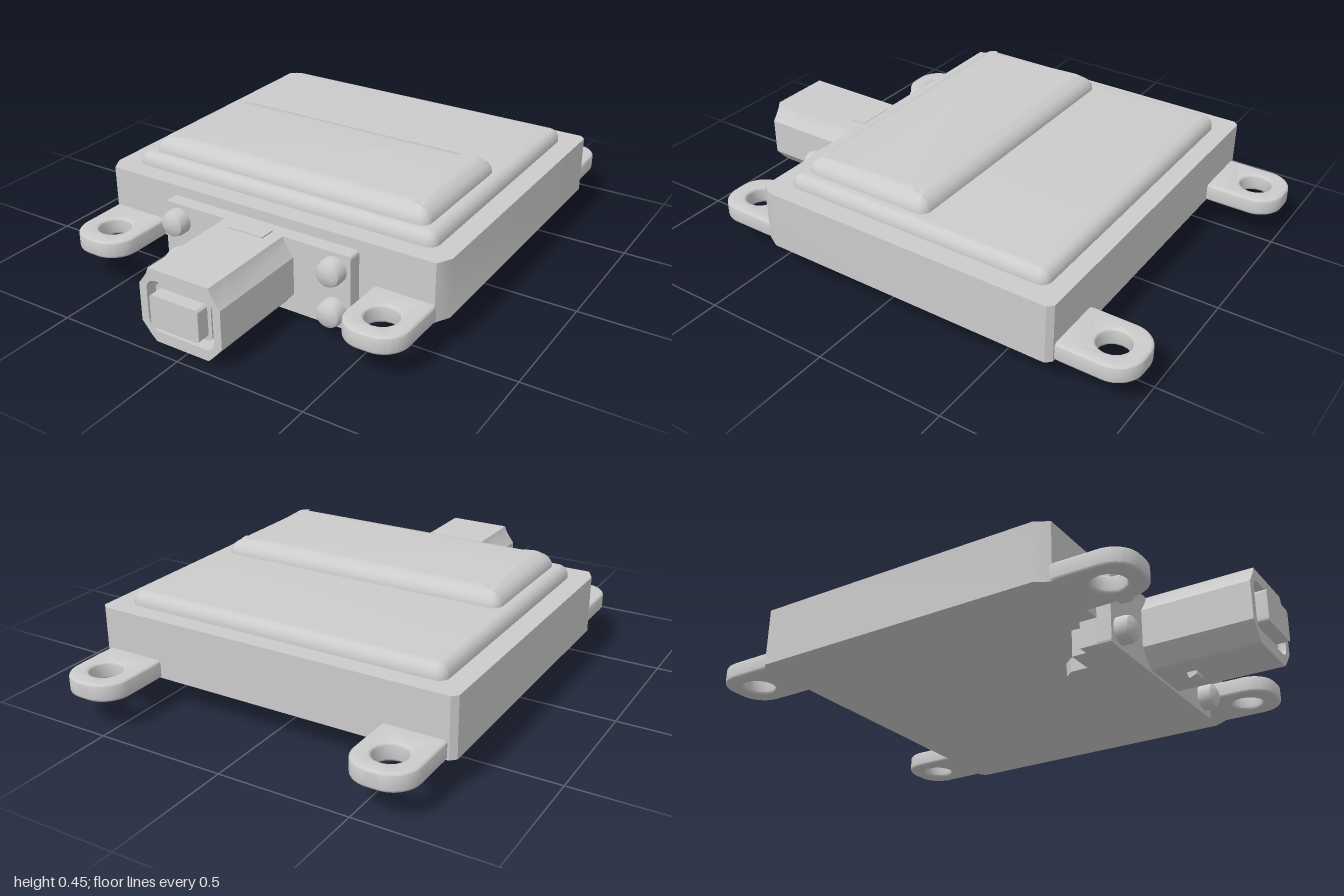
import * as THREE from 'three';
import { toCreasedNormals } from 'three/addons/utils/BufferGeometryUtils.js';

const material = new THREE.MeshStandardMaterial({ color: 0xcccccc });

// Rectangle with rounded corners, as a Shape or a Path
function roundRect(x0, y0, x1, y1, r, Type = THREE.Shape) {
  const s = new Type();
  s.moveTo(x0 + r, y0);
  s.lineTo(x1 - r, y0);
  s.absarc(x1 - r, y0 + r, r, -Math.PI / 2, 0);
  s.lineTo(x1, y1 - r);
  s.absarc(x1 - r, y1 - r, r, 0, Math.PI / 2);
  s.lineTo(x0 + r, y1);
  s.absarc(x0 + r, y1 - r, r, Math.PI / 2, Math.PI);
  s.lineTo(x0, y0 + r);
  s.absarc(x0 + r, y0 + r, r, Math.PI, Math.PI * 1.5);
  return s;
}

const polygon = (pts) => new THREE.Shape(pts.map(([x, y]) => new THREE.Vector2(x, y)));

// Extrudes a shape from a to b along z; the bevel stays inside the outline
function prism(shape, a, b, bevel = 0, width = bevel, segments = 5) {
  const g = new THREE.ExtrudeGeometry(shape, {
    depth: b - a - 2 * bevel, curveSegments: 8, bevelEnabled: bevel > 0,
    bevelThickness: bevel, bevelSize: width, bevelOffset: -width, bevelSegments: segments,
  });
  g.translate(0, 0, a + bevel);
  return toCreasedNormals(g, 0.6);
}

// The same, standing upright: shape coordinates are x and -z
const slab = (...args) => prism(...args).rotateX(-Math.PI / 2);

export function createModel() {
  const model = new THREE.Group();
  const add = (name, geometry, x = 0, y = 0, z = 0) => {
    const m = new THREE.Mesh(geometry, material);
    m.name = name;
    m.position.set(x, y, z);
    model.add(m);
    return m;
  };
  const box = (name, x0, x1, y0, y1, z0, z1) => add(name,
    new THREE.BoxGeometry(x1 - x0, y1 - y0, z1 - z0), (x0 + x1) / 2, (y0 + y1) / 2, (z0 + z1) / 2);

  // Main housing with clipped corners
  add('housing', slab(polygon([
    [-0.69, -0.505], [0.69, -0.505], [0.72, -0.45], [0.72, 0.71], [0.70, 0.73],
    [-0.70, 0.73], [-0.72, 0.71], [-0.72, -0.45],
  ]), 0.12, 0.345));

  // Rounded lid and the raised part on it; their lower bevels are sunk out of sight
  add('lid', slab(roundRect(-0.642, -0.43, 0.642, 0.66, 0.04), 0.25, 0.395, 0.045, 0.04));
  add('raisedLid', slab(roundRect(-0.59, -0.39, 0.59, 0.145, 0.04), 0.32, 0.452, 0.057, 0.075));

  // Four mounting ears with holes
  for (const x of [-0.575, 0.575]) {
    for (const [name, tip, hole, root] of [['rearEar', 1.0, 0.88, 0.65], ['frontEar', -0.775, -0.65, -0.42]]) {
      const ear = roundRect(x - 0.12, Math.min(root, tip), x + 0.12, Math.max(root, tip), 0.1);
      const bore = new THREE.Path();
      bore.absarc(x, hole, 0.06, 0, Math.PI * 2, true);
      ear.holes.push(bore);
      add(name, slab(ear, 0.12, 0.188, 0.012));
    }
  }

  // Connector flange, its lower foot and the tab under the housing
  add('flangePlate', prism(roundRect(-0.4, 0.015, 0.4, 0.305, 0.012), 0.5, 0.56));
  box('flangeFoot', -0.36, 0.36, 0.02, 0.125, 0.385, 0.505);
  for (const s of [-1, 1]) box('flangeCorner', s * 0.37 - 0.03, s * 0.37 + 0.03, 0.02, 0.125, 0.44, 0.505);
  add('undersideTab', slab(polygon([
    [-0.17, -0.4], [0.17, -0.4], [0.17, -0.27], [0.14, -0.235], [-0.14, -0.235], [-0.17, -0.27],
  ]), 0.065, 0.125));

  // Four domed flange screws
  const screw = [[0, 0.62], [0.03, 0.617], [0.045, 0.608], [0.05, 0.59], [0.05, 0.55]]
    .map(([r, z]) => new THREE.Vector2(r, z)).reverse();
  for (const x of [-0.335, 0.335]) {
    for (const y of [0.08, 0.24]) {
      add('screw', toCreasedNormals(new THREE.LatheGeometry(screw, 24).rotateX(Math.PI / 2), 0.6), x, y, 0);
    }
  }

  // Connector shell, open at the front
  const outline = polygon([
    [-0.11, 0.025], [0.11, 0.025], [0.13, 0.045], [0.168, 0.09], [0.168, 0.235], [0.135, 0.28],
    [0.125, 0.305], [-0.125, 0.305], [-0.135, 0.28], [-0.168, 0.235], [-0.168, 0.09], [-0.13, 0.045],
  ]);
  const backShape = outline.clone();
  outline.holes.push(roundRect(-0.137, 0.067, 0.137, 0.262, 0.04, THREE.Path));
  add('connectorShell', prism(outline, 0.88, 0.97));
  add('connectorBody', prism(backShape, 0.55, 0.88));

  // Stepped plug inside the shell
  add('plugCollar', prism(roundRect(-0.115, 0.088, 0.115, 0.245, 0.025), 0.87, 0.95));
  add('plug', prism(roundRect(-0.1, 0.105, 0.1, 0.228, 0.012), 0.87, 1.0));

  // Latch above and clip below the connector
  box('topLatch', -0.075, 0.075, 0.27, 0.31, 0.55, 0.61);
  add('bottomClip', prism(polygon([[0.655, 0.03], [0.665, 0.0], [0.695, 0.012], [0.695, 0.03]]), -0.025, 0.025)
    .rotateY(-Math.PI / 2));

  return model;
}
